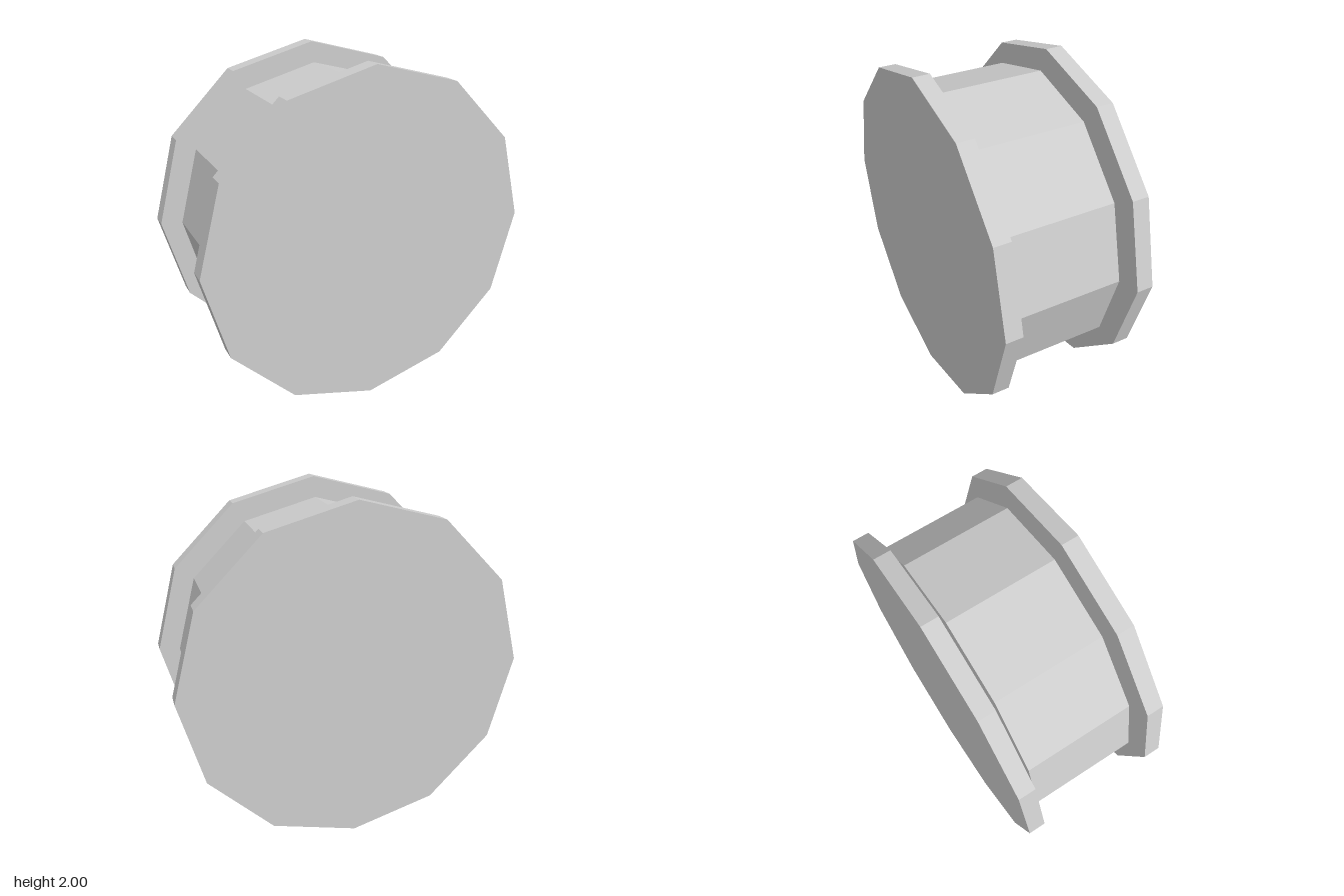
import * as THREE from 'three';

const SIDES = 12;

export function createModel() {
  const group = new THREE.Group();
  group.name = 'spool';

  const grey = new THREE.MeshStandardMaterial({ color: 0xcccccc, flatShading: true });
  grey.name = 'light grey';

  // Twelve-sided disc lying along z, with a corner pointing straight up
  const addDisc = (name, radius, depth, z) => {
    const geometry = new THREE.CylinderGeometry(radius, radius, depth, SIDES);
    geometry.rotateX(Math.PI / 2);
    const mesh = new THREE.Mesh(geometry, grey);
    mesh.name = name;
    mesh.position.set(0, 1, z);
    group.add(mesh);
  };

  // Central drum, with a narrow gap to the flange on either side
  addDisc('drum', 0.88, 0.64, 0);

  // Thin flanges
  addDisc('frontFlange', 1, 0.1, 0.4);
  addDisc('backFlange', 1, 0.1, -0.4);

  return group;
}
